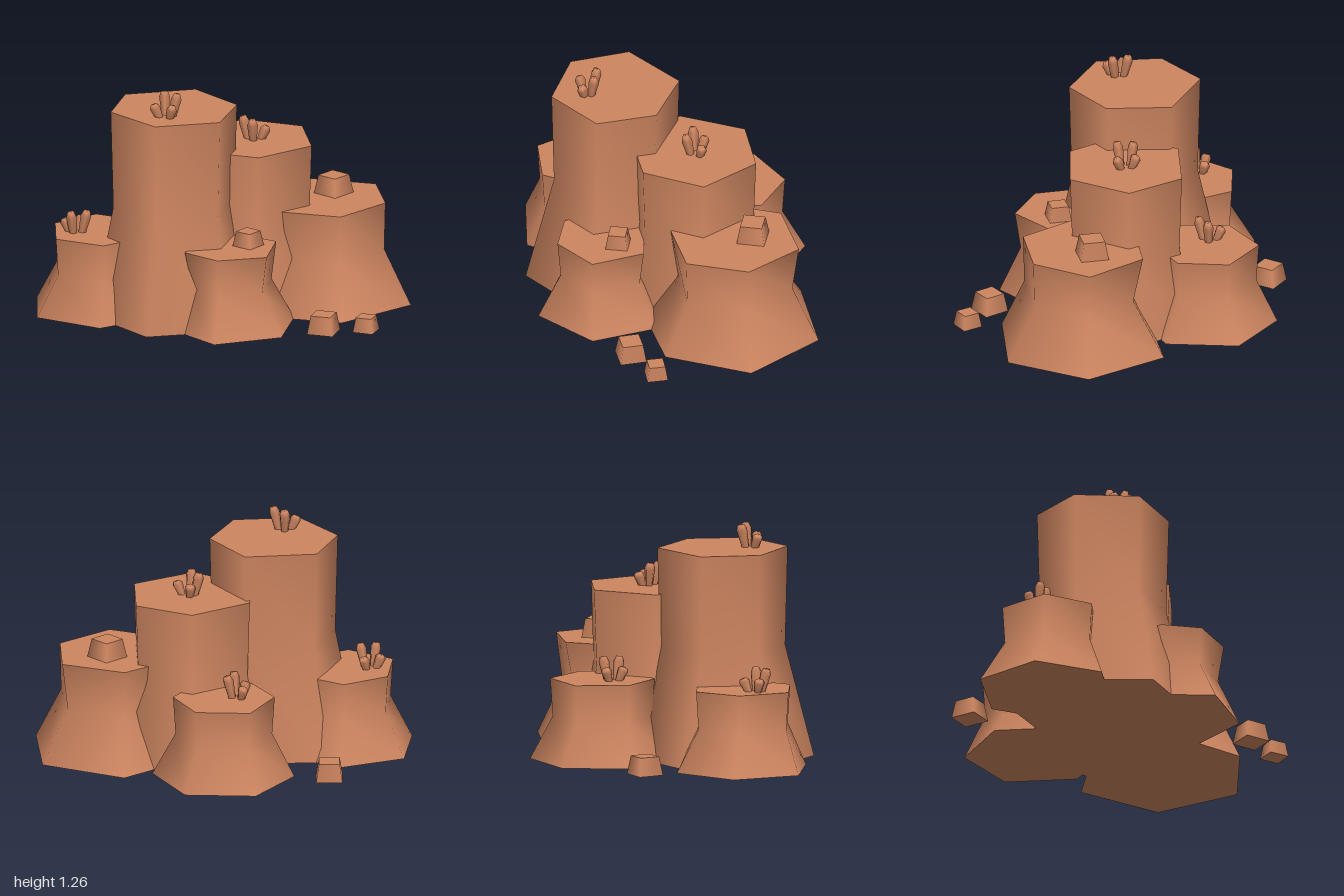
import * as THREE from 'three';

const clay = new THREE.MeshStandardMaterial({ color: 0xcd8560 });
clay.name = 'terracotta rock';

// Six-sided column: flared foot, narrow waist, flat top. Corners run clockwise from the back.
function columnGeometry({ h, top, base, waist }) {
  const cx = top.reduce((s, p) => s + p[0], 0) / 6;
  const cz = top.reduce((s, p) => s + p[1], 0) / 6;
  const scaled = (k) => top.map(([x, z], i) => {
    const s = Array.isArray(k) ? k[i] : k;
    return [cx + (x - cx) * s, cz + (z - cz) * s];
  });
  const foot = base || scaled(1.2);
  const rings = [[foot, 0], [scaled(waist), h * 0.53], [top, h], [foot, 0], [top, h]];
  const pos = [];
  const idx = [];
  for (const [ring, y] of rings) for (const [x, z] of ring) pos.push(x, y, z);
  for (let r = 0; r < 2; r++) {
    for (let i = 0; i < 6; i++) {
      const a = r * 6 + i, b = r * 6 + (i + 1) % 6;
      idx.push(a, a + 6, b + 6, a, b + 6, b);
    }
  }
  // Caps use their own corners so that the rims stay sharp
  for (let i = 1; i < 5; i++) {
    idx.push(18, 18 + i, 19 + i);
    idx.push(24, 25 + i, 24 + i);
  }
  const g = new THREE.BufferGeometry();
  g.setAttribute('position', new THREE.Float32BufferAttribute(pos, 3));
  g.setIndex(idx);
  g.computeVertexNormals();
  return g;
}

const columns = {
  tallColumn: {
    h: 1.135, waist: 0.96,
    top: [[-0.16, -0.14], [0.075, 0.12], [0, 0.44], [-0.34, 0.535], [-0.59, 0.29], [-0.53, -0.03]],
    base: [[-0.2, -0.24], [0.16, 0.1], [0.06, 0.55], [-0.38, 0.67], [-0.69, 0.32], [-0.58, -0.15]],
  },
  secondColumn: {
    h: 0.885, waist: 0.96,
    top: [[0.08, -0.41], [0.4, -0.31], [0.47, 0.04], [0.2, 0.265], [-0.13, 0.17], [-0.19, -0.16]],
  },
  wideColumn: {
    h: 0.55, waist: [0.84, 0.9, 0.98, 0.98, 0.9, 0.9],
    top: [[0.44, -0.44], [0.79, -0.365], [0.86, -0.03], [0.635, 0.23], [0.32, 0.16], [0.21, -0.19]],
    base: [[0.42, -0.57], [0.885, -0.435], [1, 0.03], [0.65, 0.365], [0.28, 0.29], [0.15, -0.25]],
  },
  frontColumn: {
    h: 0.435, waist: [0.9, 0.9, 0.88, 0.93, 0.83, 0.83],
    top: [[0.09, 0.2], [0.295, 0.31], [0.26, 0.6], [0, 0.675], [-0.18, 0.54], [-0.14, 0.28]],
    base: [[0.12, 0.1], [0.39, 0.28], [0.34, 0.64], [-0.01, 0.785], [-0.23, 0.56], [-0.17, 0.2]],
  },
  backColumn: {
    h: 0.435, waist: 0.95,
    top: [[0.015, -0.685], [0.175, -0.46], [0.08, -0.21], [-0.2, -0.17], [-0.36, -0.37], [-0.275, -0.65]],
    base: [[0.055, -0.785], [0.285, -0.47], [0.13, -0.13], [-0.25, -0.09], [-0.47, -0.39], [-0.32, -0.74]],
  },
  sideColumn: {
    h: 0.435, waist: 0.95,
    top: [[-0.69, -0.115], [-0.43, -0.01], [-0.41, 0.275], [-0.62, 0.445], [-0.88, 0.34], [-0.9, 0.055]],
    base: [[-0.68, -0.22], [-0.32, -0.05], [-0.34, 0.33], [-0.635, 0.53], [-0.98, 0.36], [-1, -0.015]],
  },
};

// Four leaning crystals: [turn in degrees, distance of tip, height]
const CRYSTALS = [[0, 0.065, 0.125], [92, 0.06, 0.125], [158, 0.065, 0.075], [268, 0.07, 0.075]];

function crystalCluster(x, y, z, turn) {
  const cluster = new THREE.Group();
  cluster.name = 'crystalCluster';
  cluster.position.set(x, y, z);
  for (const [deg, r, h] of CRYSTALS) {
    const a = THREE.MathUtils.degToRad(deg + turn);
    const lean = new THREE.Vector3(Math.cos(a) * r * 0.45, h, Math.sin(a) * r * 0.45);
    const profile = [[0.02, -0.01], [0.03, h * 0.78], [0.019, h], [0, h]];
    const crystal = new THREE.Mesh(
      new THREE.LatheGeometry(profile.map((p) => new THREE.Vector2(...p)), 5), clay);
    crystal.name = 'crystal';
    crystal.position.set(Math.cos(a) * r * 0.55, 0, Math.sin(a) * r * 0.55);
    crystal.quaternion.setFromUnitVectors(new THREE.Vector3(0, 1, 0), lean.normalize());
    cluster.add(crystal);
  }
  return cluster;
}

// Loose four-sided stone
function stone(x, y, z, r, h, turn) {
  const mesh = new THREE.Mesh(new THREE.CylinderGeometry(r * 0.78, r, h, 4), clay);
  mesh.name = 'stone';
  mesh.position.set(x, y + h / 2, z);
  mesh.rotation.y = turn;
  return mesh;
}

export function createModel() {
  const model = new THREE.Group();
  model.name = 'rockFormation';

  for (const [name, spec] of Object.entries(columns)) {
    const mesh = new THREE.Mesh(columnGeometry(spec), clay);
    mesh.name = name;
    model.add(mesh);
  }

  // Crystals on the column tops
  model.add(
    crystalCluster(-0.29, 1.135, 0.345, -102),
    crystalCluster(0.155, 0.885, -0.08, 94),
    crystalCluster(-0.78, 0.435, 0.19, 23),
    crystalCluster(-0.165, 0.435, -0.395, -34),
  );

  // Stones on the tops and on the ground
  model.add(
    stone(0.575, 0.55, -0.2, 0.106, 0.1, 0.13),
    stone(0.15, 0.435, 0.39, 0.084, 0.08, 0.16),
    stone(0.56, 0, 0.525, 0.1, 0.1, 0.53),
    stone(0.785, 0, 0.49, 0.078, 0.08, 0.48),
    stone(-0.66, 0, -0.395, 0.1, 0.1, 0.95),
  );
  return model;
}
